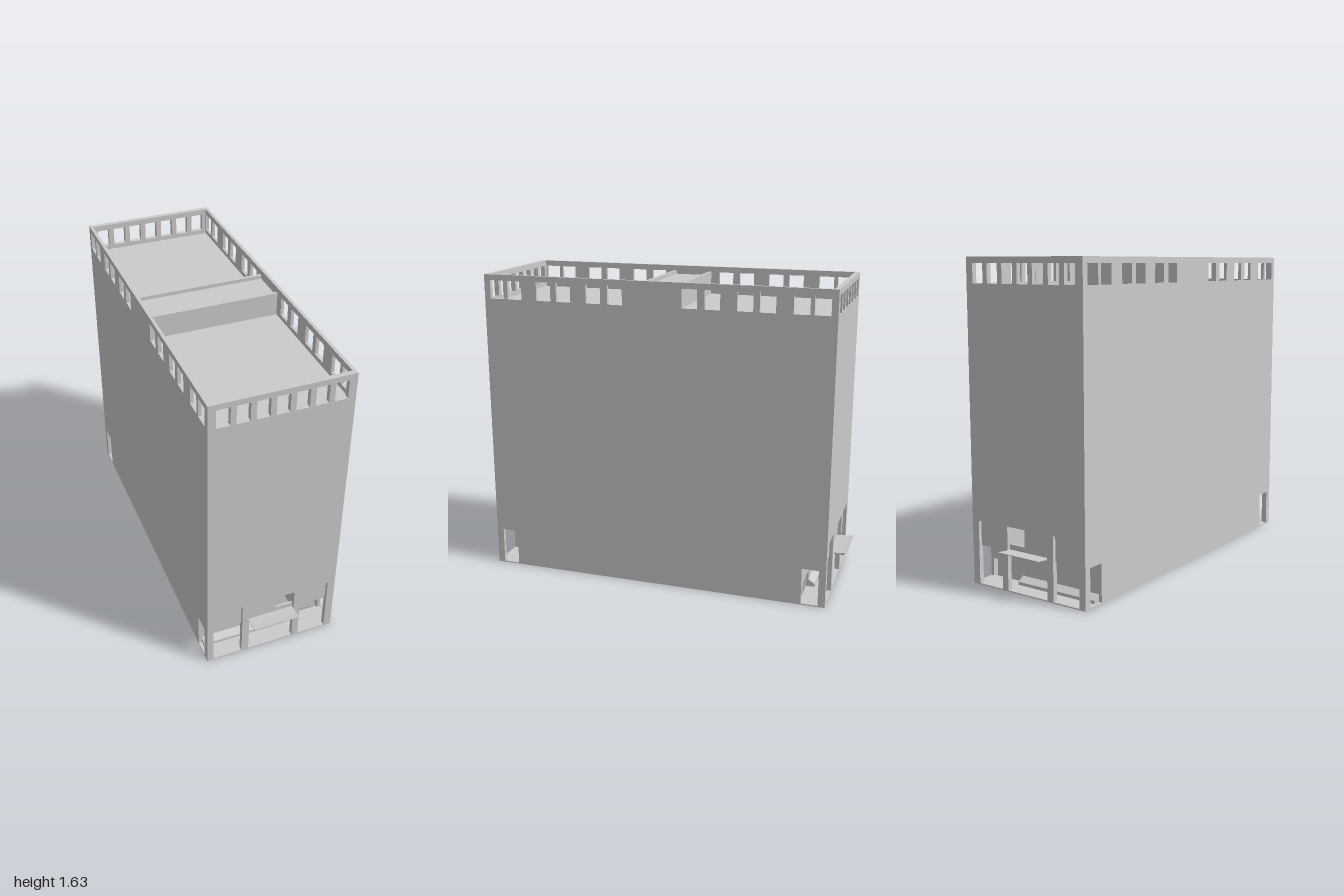
import * as THREE from 'three';

const W = 0.355, D = 0.93, H = 1.63; // half width, half depth, height
const TS = 0.017, TE = 0.026;        // side and end wall thickness
const ROOF = 1.48, LOBBY = 0.2, BACK = 0.805;

export function createModel() {
  const model = new THREE.Group();
  const mat = new THREE.MeshStandardMaterial({ color: 0xcccccc, side: THREE.DoubleSide, flatShading: true });

  const add = (name, geo, parent = model) => {
    const mesh = new THREE.Mesh(geo, mat);
    mesh.name = name;
    parent.add(mesh);
    return mesh;
  };
  const box = (name, x0, x1, y0, y1, z0, z1, parent) => {
    const geo = new THREE.BoxGeometry(x1 - x0, y1 - y0, Math.abs(z1 - z0));
    geo.translate((x0 + x1) / 2, (y0 + y1) / 2, (z0 + z1) / 2);
    return add(name, geo, parent);
  };
  const polygon = (pts) => new THREE.Shape(pts.map(([x, y]) => new THREE.Vector2(x, y)));
  const rect = (x0, x1, y0, y1) => polygon([[x0, y0], [x1, y0], [x1, y1], [x0, y1]]);
  const wall = (outline, holes, depth) => {
    outline.holes.push(...holes);
    return new THREE.ExtrudeGeometry(outline, { depth, bevelEnabled: false });
  };
  // Profile drawn in (z, y), extruded from x0 to x1
  const alongX = (shape, holes, x0, x1) =>
    wall(shape, holes, x1 - x0).rotateY(-Math.PI / 2).translate(x1, 0, 0);

  // Long side walls with parapet windows and lobby side openings
  for (const s of [-1, 1]) {
    const holes = [];
    for (const e of [-1, 1]) {
      for (const c of [0.857, 0.757, 0.592, 0.48, 0.315, 0.197])
        holes.push(rect(e * c - 0.04, e * c + 0.04, 1.503, 1.6));
      const [a, b] = [e * BACK, e * 0.893].sort((p, q) => p - q);
      holes.push(rect(a, b, 0.006, LOBBY));
    }
    const [x0, x1] = s > 0 ? [W - TS, W] : [-W, -W + TS];
    add(s > 0 ? 'leftWall' : 'rightWall', alongX(rect(-D, D, 0, H), holes, x0, x1));
  }

  // Roof terraces, raised middle strip and its two cross walls
  const ix = W - TS, iz = D - TE;
  for (const s of [-1, 1]) {
    box('roofTerrace', -ix, ix, ROOF - 0.015, ROOF, s * 0.1, s * iz);
    box('roofCrossWall', -ix, ix, ROOF - 0.015, 1.602, s * 0.093, s * 0.11);
  }
  box('raisedRoof', -ix, ix, 1.57, 1.583, -0.093, 0.093);

  // Both ends share the same facade and lobby
  for (const s of [-1, 1]) {
    const end = new THREE.Group();
    end.name = s > 0 ? 'frontEnd' : 'backEnd';
    model.add(end);
    const part = (name, x0, x1, y0, y1, z0, z1) => box(name, x0, x1, y0, y1, s * z0, s * z1, end);

    // Facade with parapet windows and three entrance bays
    const holes = [rect(-0.32, -0.163, 0.006, 0.33), rect(-0.125, 0.125, 0.006, 0.33), rect(0.16, 0.315, 0.006, 0.33)];
    for (let i = -3; i <= 3; i++) holes.push(rect(i * 0.094 - 0.033, i * 0.094 + 0.033, 1.503, 1.6));
    const facade = wall(rect(-ix, ix, 0, H), holes, TE);
    facade.translate(0, 0, s > 0 ? iz : -D);
    add('facade', facade, end);

    // Recessed panels above the bays, with a square opening in the middle one
    part('bayPanel', -0.33, -0.155, LOBBY, 0.34, 0.9, 0.912);
    part('bayPanel', 0.152, 0.325, LOBBY, 0.34, 0.9, 0.912);
    part('centrePanel', -0.135, 0.03, LOBBY, 0.34, 0.9, 0.912);
    part('centrePanelSill', 0.03, 0.125, 0.21, 0.237, 0.9, 0.912);

    // Pocket behind the square opening
    part('pocketSide', 0.02, 0.03, LOBBY, 0.34, BACK, 0.9);
    part('pocketSide', 0.125, 0.135, LOBBY, 0.34, BACK, 0.912);
    part('pocketTop', 0.02, 0.135, 0.33, 0.34, BACK, 0.91);
    part('pocketBack', 0.02, 0.135, 0.21, 0.34, BACK - 0.01, BACK);

    // Lobby floor, ceiling and rear wall
    part('lobbyFloor', -ix, ix, 0, 0.006, BACK - 0.01, iz);
    part('lobbyCeiling', -ix, 0.03, LOBBY, LOBBY + 0.01, BACK - 0.01, 0.91);
    part('lobbyCeiling', 0.125, ix, LOBBY, LOBBY + 0.01, BACK - 0.01, 0.91);
    part('lobbyRearWall', -ix, 0.14, 0, LOBBY, BACK - 0.01, BACK);
    part('lobbyRearWallUpper', 0.14, ix, 0.1, LOBBY, BACK - 0.01, BACK);
    // Shallow recess in one side of the rear wall
    part('recessBack', 0.14, ix, 0, 0.1, BACK - 0.04, BACK - 0.03);
    part('recessTop', 0.14, ix, 0.1, 0.108, BACK - 0.04, BACK - 0.01);

    // Kerb with a sloping top
    const kerb = polygon([[BACK, 0], [0.84, 0], [0.84, 0.022], [BACK, 0.045]].map(([z, y]) => [s * z, y]));
    add('lobbyKerb', alongX(kerb, [], -ix, 0.14), end);

    // Thin canopy, curving gently upward
    const line = [[0.905, 0.206], [0.935, 0.207], [0.965, 0.21], [1, 0.215]];
    const profile = [...line, ...line.map(([z, y]) => [z, y + 0.004]).reverse()];
    add('canopy', alongX(polygon(profile.map(([z, y]) => [s * z, y])), [], -0.125, 0.125), end);
  }
  return model;
}
